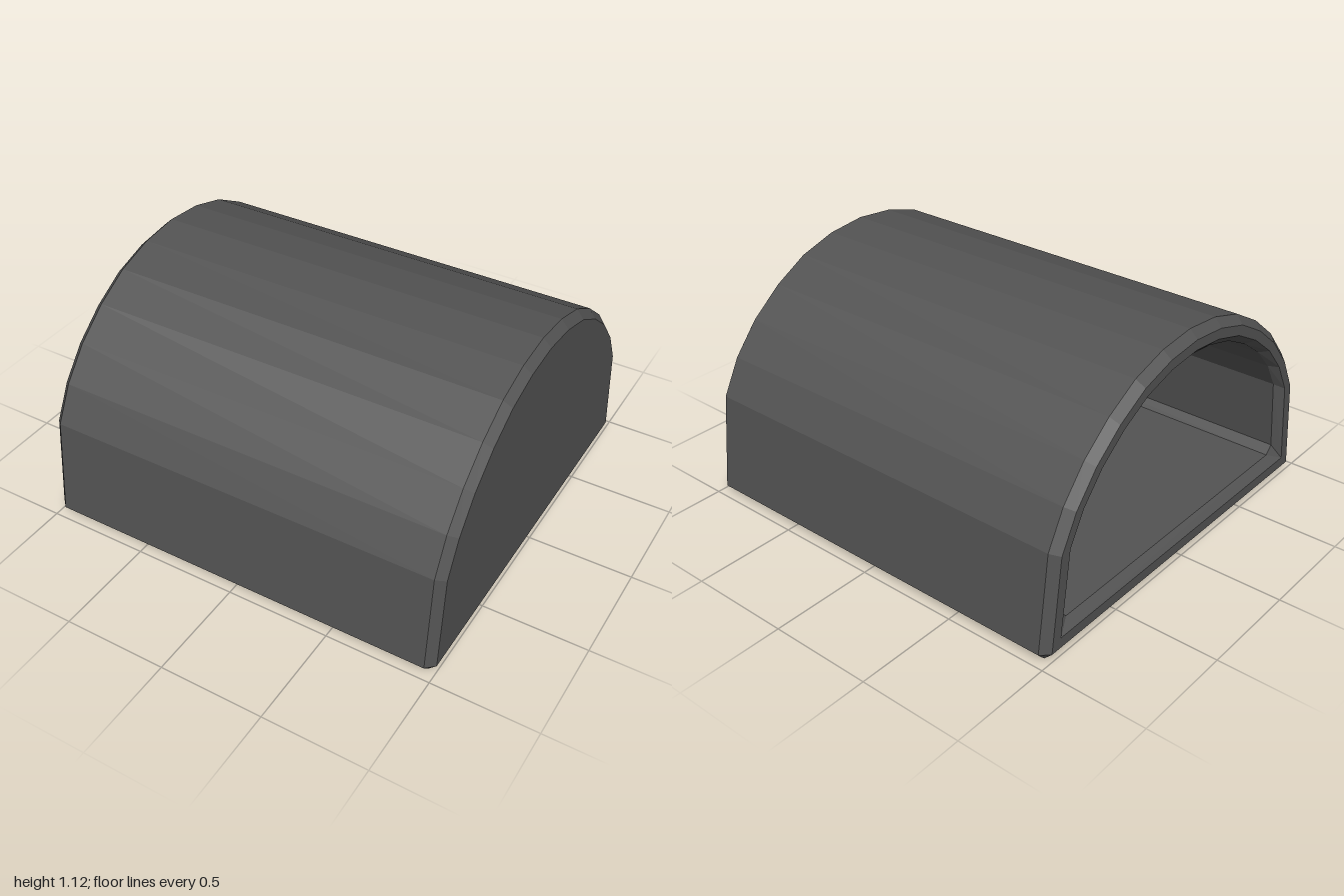
import * as THREE from 'three';

// Right half of the arch, as fractions of half width and of height above the base
const ARCH = [[1, 0], [0.946, 0.433], [0.854, 0.59], [0.725, 0.728], [0.566, 0.843], [0.391, 0.931], [0.2, 0.982], [0, 1]];

// Closed arch cross-section at x; the floor sits at or below the base, leaving a chamfer
function section(x, half, base, top, floorHalf, floor) {
  const right = ARCH.map(([z, y]) => [z * half, base + y * (top - base)]);
  right.unshift([floorHalf, floor]);
  const left = right.slice(0, -1).reverse().map(([z, y]) => [-z, y]);
  return [...right, ...left].map(([z, y]) => new THREE.Vector3(x, y, z));
}

// Flat-shaded skin through successive sections
function loft(rings) {
  const pts = [];
  for (let r = 0; r < rings.length - 1; r++) {
    const p = rings[r], q = rings[r + 1], n = p.length;
    for (let i = 0; i < n; i++) {
      const j = (i + 1) % n;
      pts.push(p[i], q[i], p[j], p[j], q[i], q[j]);
    }
  }
  return pts;
}

// Flat end face, facing +x or -x
function cap(ring, facingPlusX) {
  const pts = [];
  for (let i = 1; i < ring.length - 1; i++) {
    pts.push(ring[0], ...(facingPlusX ? [ring[i + 1], ring[i]] : [ring[i], ring[i + 1]]));
  }
  return pts;
}

export function createModel() {
  const group = new THREE.Group();
  group.name = 'archedShelter';
  const material = new THREE.MeshStandardMaterial({ color: 0x535353, flatShading: true });

  const add = (name, points) => {
    const geometry = new THREE.BufferGeometry().setFromPoints(points);
    geometry.computeVertexNormals();
    const mesh = new THREE.Mesh(geometry, material);
    mesh.name = name;
    group.add(mesh);
  };

  // Outer skin, chamfered at both ends and along the floor
  const outerEnd = (x) => section(x, 0.937, 0.04, 1.084, 0.937, 0.04);
  const outerBody = (x) => section(x, 0.975, 0.04, 1.122, 0.937, 0);
  const outer = [outerEnd(-1), outerBody(-0.96), outerBody(0.96), outerEnd(1)];

  // Hollow inside, from the closed end back to the opening, whose edge is chamfered outwards
  const innerBody = (x) => section(x, 0.835, 0.17, 0.995, 0.797, 0.13);
  const inner = [
    section(0.87, 0.797, 0.17, 0.955, 0.797, 0.17),
    innerBody(0.83),
    innerBody(-0.96),
    section(-1, 0.88, 0.09, 1.035, 0.88, 0.09),
  ];

  add('outerShell', loft(outer));
  add('outerEndWall', cap(outer[3], true));
  add('innerLining', loft(inner));
  add('innerEndWall', cap(inner[0], false));
  add('openingRim', loft([inner[3], outer[0]]));
  return group;
}
